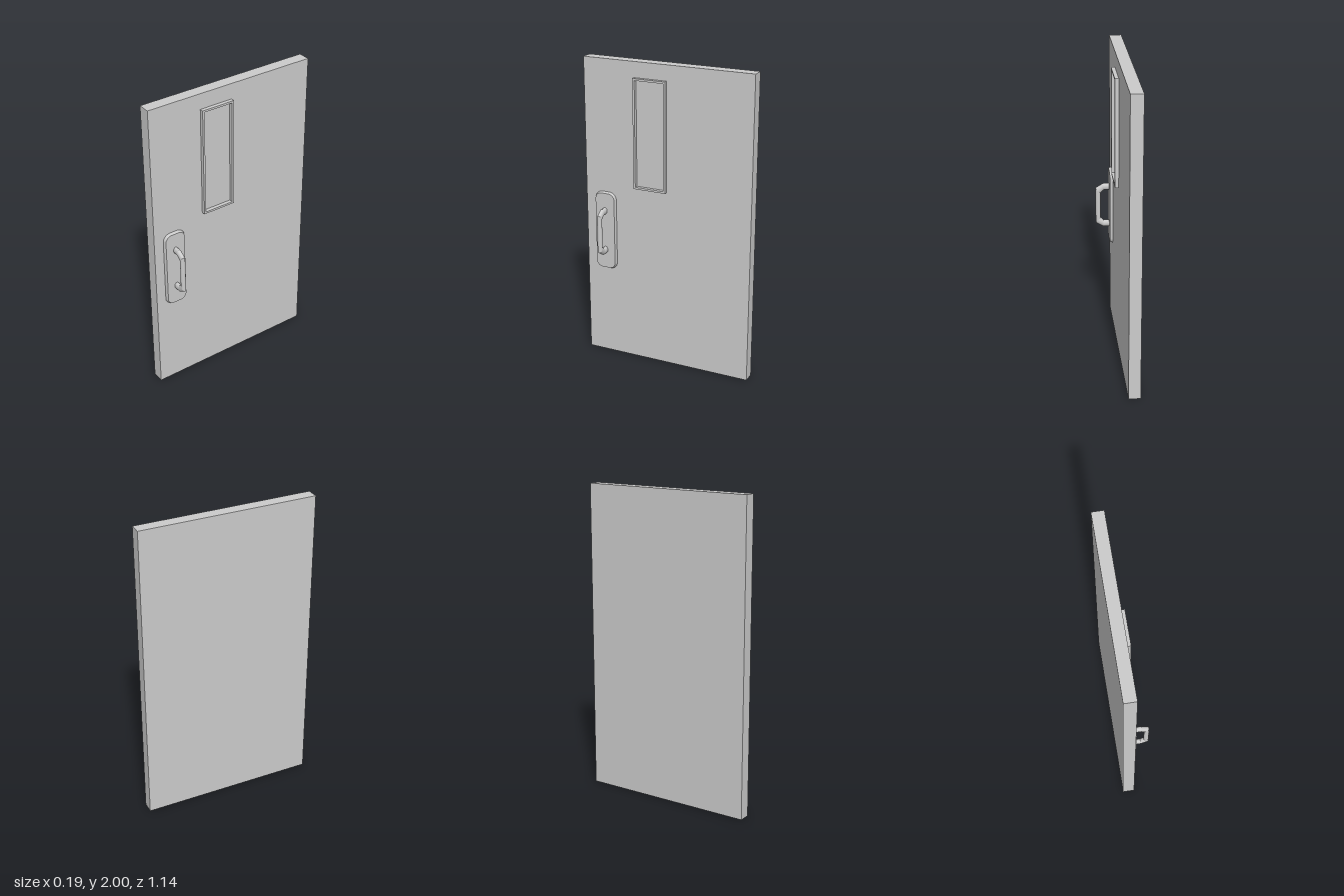
import * as THREE from 'three';
import { toCreasedNormals } from 'three/addons/utils/BufferGeometryUtils.js';

const FACE = -0.018; // x of the door's outer face
const material = new THREE.MeshStandardMaterial({ color: 0xcccccc });

function part(name, geometry) {
  const mesh = new THREE.Mesh(geometry, material);
  mesh.name = name;
  return mesh;
}

// Rectangle outline centred on the origin, with optional corner radius
function outline(path, w, h, r = 0) {
  const x = w / 2, y = h / 2;
  if (r === 0) return path.moveTo(-x, -y).lineTo(x, -y).lineTo(x, y).lineTo(-x, y).closePath();
  path.moveTo(-x + r, -y);
  path.absarc(x - r, -y + r, r, -Math.PI / 2, 0);
  path.absarc(x - r, y - r, r, 0, Math.PI / 2);
  path.absarc(-x + r, y - r, r, Math.PI / 2, Math.PI);
  path.absarc(-x + r, -y + r, r, Math.PI, Math.PI * 1.5);
  return path.closePath();
}

// Handle: oval sections spanning outer and inner points, creased at each bend
function handleGeometry(midY, halfWidth) {
  const half = [ // outer x, outer y, inner x, inner y (y above the middle)
    [-0.01, 0.158, -0.01, 0.112],
    [0.04, 0.158, 0.037, 0.112],
    [0.09, 0.128, 0.058, 0.09],
  ];
  const sections = [...half, ...half.map(([a, b, c, d]) => [a, -b, c, -d]).reverse()];
  const sides = 20, positions = [], indices = [];
  const addRing = ([ox, oy, ix, iy]) => {
    for (let i = 0; i < sides; i++) {
      const a = (i / sides) * Math.PI * 2, c = Math.cos(a) / 2;
      positions.push(
        (ox + ix) / 2 + c * (ox - ix),
        midY + (oy + iy) / 2 + c * (oy - iy),
        Math.sin(a) * halfWidth);
    }
  };
  for (let s = 0; s < sections.length - 1; s++) {
    const base = positions.length / 3;
    addRing(sections[s]);
    addRing(sections[s + 1]);
    for (let i = 0; i < sides; i++) {
      const a = base + i, b = base + (i + 1) % sides;
      indices.push(a, b, a + sides, b, b + sides, a + sides);
    }
  }
  const geometry = new THREE.BufferGeometry();
  geometry.setAttribute('position', new THREE.Float32BufferAttribute(positions, 3));
  geometry.setIndex(indices);
  geometry.computeVertexNormals();
  return geometry;
}

export function createModel() {
  const group = new THREE.Group();
  group.name = 'door';

  // Slab
  const slab = part('doorSlab', new THREE.BoxGeometry(0.077, 2, 1.14));
  slab.position.set(FACE - 0.0385, 1, 0);
  group.add(slab);

  // Raised rectangular window frame
  const frameShape = outline(new THREE.Shape(), 0.22, 0.71);
  frameShape.holes.push(outline(new THREE.Path(), 0.194, 0.684));
  const frame = part('windowFrame',
    new THREE.ExtrudeGeometry(frameShape, { depth: 0.024, bevelEnabled: false }));
  frame.rotation.y = Math.PI / 2;
  frame.position.set(FACE, 1.545, 0.109);
  group.add(frame);

  // Rounded backing plate; its rear bevel is sunk into the slab
  const plateShape = outline(new THREE.Shape(), 0.134, 0.514, 0.042);
  const plate = part('handlePlate', toCreasedNormals(new THREE.ExtrudeGeometry(plateShape, {
    depth: 0.005, bevelThickness: 0.018, bevelSize: 0.008, bevelSegments: 1, curveSegments: 8,
  }), 0.5));
  plate.rotation.y = Math.PI / 2;
  plate.position.set(FACE - 0.005, 0.869, 0.431);
  group.add(plate);

  // Pull handle
  const handle = part('pullHandle', handleGeometry(0.8725, 0.016));
  handle.position.z = 0.431;
  group.add(handle);

  return group;
}
